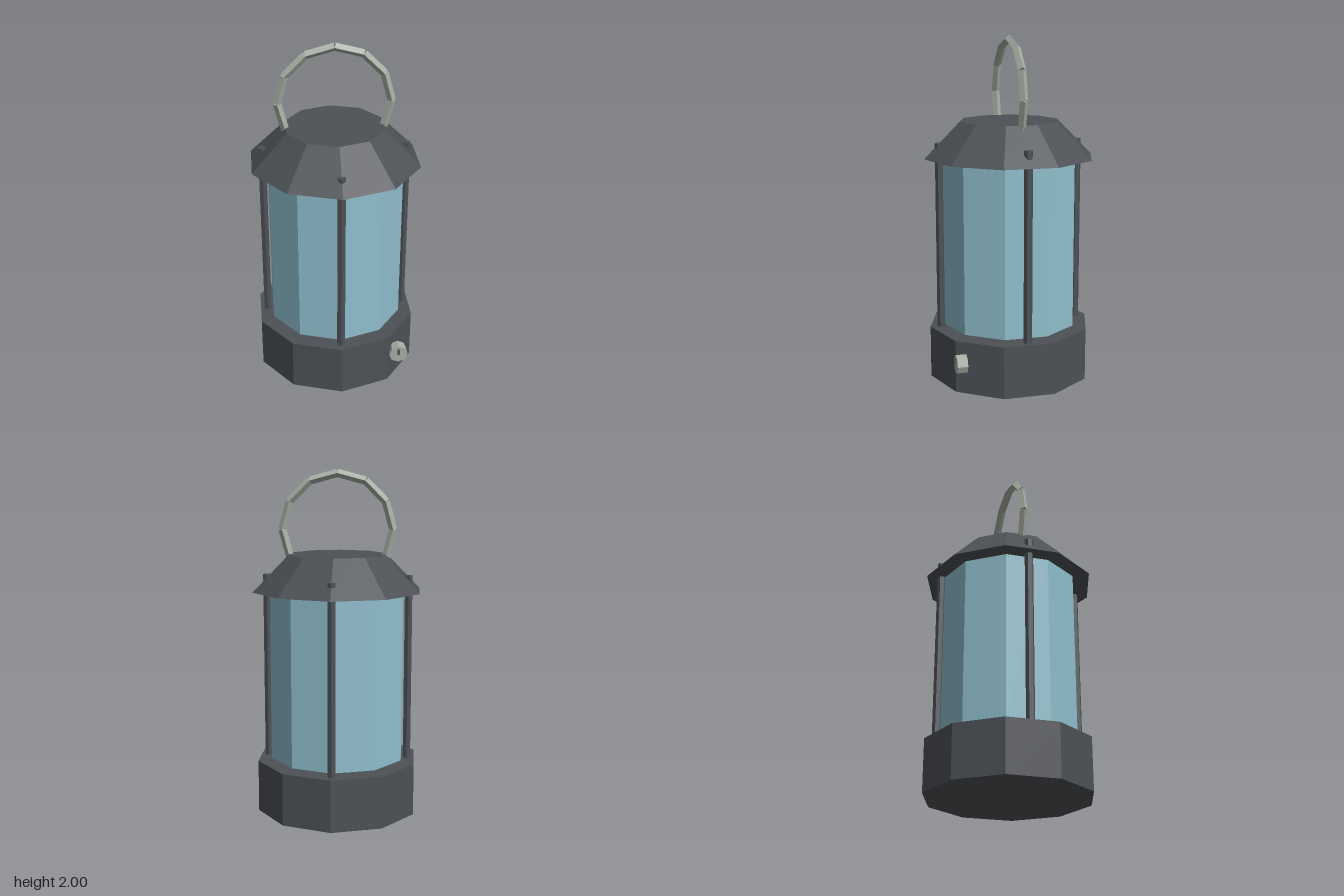
import * as THREE from 'three';

const material = (name, color) => {
  const m = new THREE.MeshStandardMaterial({ color, flatShading: true });
  m.name = name;
  return m;
};

export function createModel() {
  const darkMetal = material('darkMetal', 0x4d5156);
  const glass = material('glass', 0x8fbfcd);
  const paleMetal = material('paleMetal', 0xa6aea2);

  const lantern = new THREE.Group();
  lantern.name = 'lantern';

  const add = (name, geometry, mat, x, y, z, parent = lantern) => {
    const mesh = new THREE.Mesh(geometry, mat);
    mesh.name = name;
    mesh.position.set(x, y, z);
    parent.add(mesh);
    return mesh;
  };
  // Upright prism or frustum between two heights
  const prism = (name, rTop, rBottom, y0, y1, sides, mat, x = 0, z = 0) =>
    add(name, new THREE.CylinderGeometry(rTop, rBottom, y1 - y0, sides), mat, x, (y0 + y1) / 2, z);

  // Ten-sided body
  prism('base', 0.48, 0.48, 0, 0.305, 10, darkMetal);
  prism('glassChamber', 0.4, 0.4, 0.32, 1.31, 10, glass);
  prism('roof', 0.29, 0.5, 1.305, 1.515, 10, darkMetal);

  // Four posts whose tips poke through the roof
  const postRadius = 0.413;
  const posts = [['frontPost', 0, 1], ['leftPost', 1, 0], ['backPost', 0, -1], ['rightPost', -1, 0]];
  for (const [name, x, z] of posts) {
    prism(name, 0.025, 0.025, 0.295, 1.395, 6, darkMetal, x * postRadius, z * postRadius);
  }

  // Control knob with its pointer
  const knob = add('knob', new THREE.CylinderGeometry(0.055, 0.055, 0.06, 8), paleMetal, 0.345, 0.19, 0.37);
  knob.rotation.x = Math.PI / 2;
  add('knobPointer', new THREE.BoxGeometry(0.013, 0.034, 0.024), darkMetal, 0.345, 0.21, 0.4);

  // Handle: straight diamond-section bars around an arc, notched at the joints
  const handle = new THREE.Group();
  handle.name = 'handle';
  handle.position.y = 1.657;
  lantern.add(handle);
  const step = Math.PI / 6, ring = 0.32;
  const bar = new THREE.CylinderGeometry(0.0235, 0.0235, 2 * ring * Math.sin(step / 2), 4);
  for (let i = -4; i < 4; i++) {
    const a = (i + 0.5) * step;
    const r = ring * Math.cos(step / 2);
    const mesh = add('handleBar', bar, paleMetal, r * Math.sin(a), r * Math.cos(a), 0, handle);
    mesh.rotation.z = Math.PI / 2 - a;
  }

  return lantern;
}
